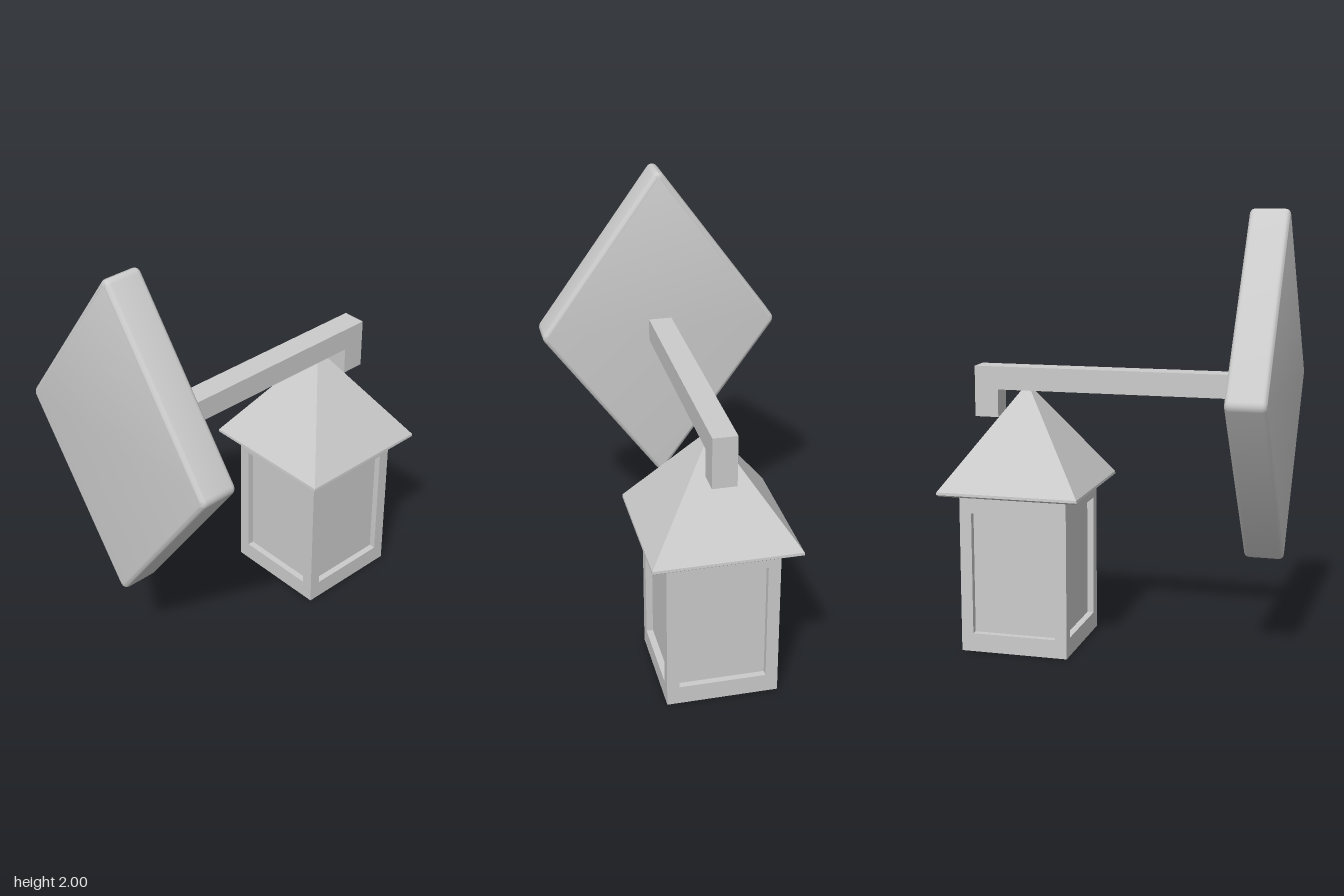
import * as THREE from 'three';
import { toCreasedNormals } from 'three/addons/utils/BufferGeometryUtils.js';

const smooth = new THREE.MeshStandardMaterial({ color: 0xcccccc });
const flat = new THREE.MeshStandardMaterial({ color: 0xcccccc, flatShading: true });

function add(parent, name, geometry, material = flat) {
  const mesh = new THREE.Mesh(geometry, material);
  mesh.name = name;
  parent.add(mesh);
  return mesh;
}

// Box given by its lower and upper corners
function boxBetween([x0, y0, z0], [x1, y1, z1]) {
  return new THREE.BoxGeometry(x1 - x0, y1 - y0, z1 - z0)
    .translate((x0 + x1) / 2, (y0 + y1) / 2, (z0 + z1) / 2);
}

// Diamond wall plate with softened edges and corners
function wallPlateGeometry() {
  const corners = [[0, 0.748], [-0.541, 0], [0, -0.748], [0.541, 0]].map(([x, y]) => new THREE.Vector2(x, y));
  const shape = new THREE.Shape();
  corners.forEach((c, i) => {
    const toward = (o) => c.clone().add(o.clone().sub(c).setLength(0.012));
    const a = toward(corners[(i + 3) % 4]);
    const b = toward(corners[(i + 1) % 4]);
    if (i === 0) shape.moveTo(a.x, a.y);
    else shape.lineTo(a.x, a.y);
    shape.quadraticCurveTo(c.x, c.y, b.x, b.y);
  });
  shape.closePath();
  const bevel = 0.022, thickness = 0.176;
  const geometry = new THREE.ExtrudeGeometry(shape, {
    depth: thickness - 2 * bevel, bevelSize: bevel, bevelThickness: bevel, bevelSegments: 4, curveSegments: 4,
  });
  geometry.translate(0, 0, bevel - thickness / 2).rotateY(Math.PI / 2);
  return toCreasedNormals(geometry, 0.6);
}

const HALF = 0.249, HEIGHT = 0.74, INSET = 0.03;

// One side of the lantern: a frame with a window opening and mitred ends
function windowFrameGeometry() {
  const rect = (path, x, y0, y1) => path.moveTo(-x, y0).lineTo(x, y0).lineTo(x, y1).lineTo(-x, y1).closePath();
  const shape = rect(new THREE.Shape(), HALF, 0, HEIGHT);
  shape.holes.push(rect(new THREE.Path(), 0.194, 0.085, 0.645));
  const geometry = new THREE.ExtrudeGeometry(shape, { depth: INSET, bevelEnabled: false });
  const p = geometry.attributes.position;
  for (let i = 0; i < p.count; i++) {
    if (Math.abs(p.getX(i)) > 0.24 && p.getZ(i) < 0.001) p.setX(i, Math.sign(p.getX(i)) * (HALF - INSET));
  }
  geometry.computeVertexNormals();
  return geometry.translate(0, 0, HALF - INSET);
}

// Square pyramid with a small chamfer round the eaves
function roofGeometry() {
  const profile = [[0, 0.73], [0.314, 0.73], [0.325, 0.738], [0.324, 0.75], [0.02, 1.18], [0.008, 1.198], [0, 1.2]];
  return new THREE.LatheGeometry(
    profile.map(([halfWidth, y]) => new THREE.Vector2(halfWidth * Math.SQRT2, y)), 4, Math.PI / 4);
}

export function createModel() {
  const model = new THREE.Group();
  model.name = 'wallLantern';

  // Wall plate
  add(model, 'wallPlate', wallPlateGeometry(), smooth).position.set(-0.667, 1.23, 0);

  // Bracket arm and its drop end
  const bracket = new THREE.Group();
  bracket.name = 'bracket';
  model.add(bracket);
  add(bracket, 'arm', boxBetween([-0.6, 1.18, -0.054], [0.552, 1.285, 0.054]));
  add(bracket, 'armEnd', boxBetween([0.552, 1.053, -0.054], [0.662, 1.285, 0.054]));

  // Lantern body: four framed sides round a core that forms the panels
  const lantern = new THREE.Group();
  lantern.name = 'lantern';
  lantern.position.x = 0.424;
  model.add(lantern);
  const core = HALF - INSET;
  add(lantern, 'panels', boxBetween([-core, 0, -core], [core, HEIGHT, core]));
  const frame = windowFrameGeometry();
  for (let i = 0; i < 4; i++) add(lantern, `windowFrame${i + 1}`, frame).rotation.y = i * Math.PI / 2;

  // Roof
  add(model, 'roof', roofGeometry()).position.x = 0.428;

  return model;
}
